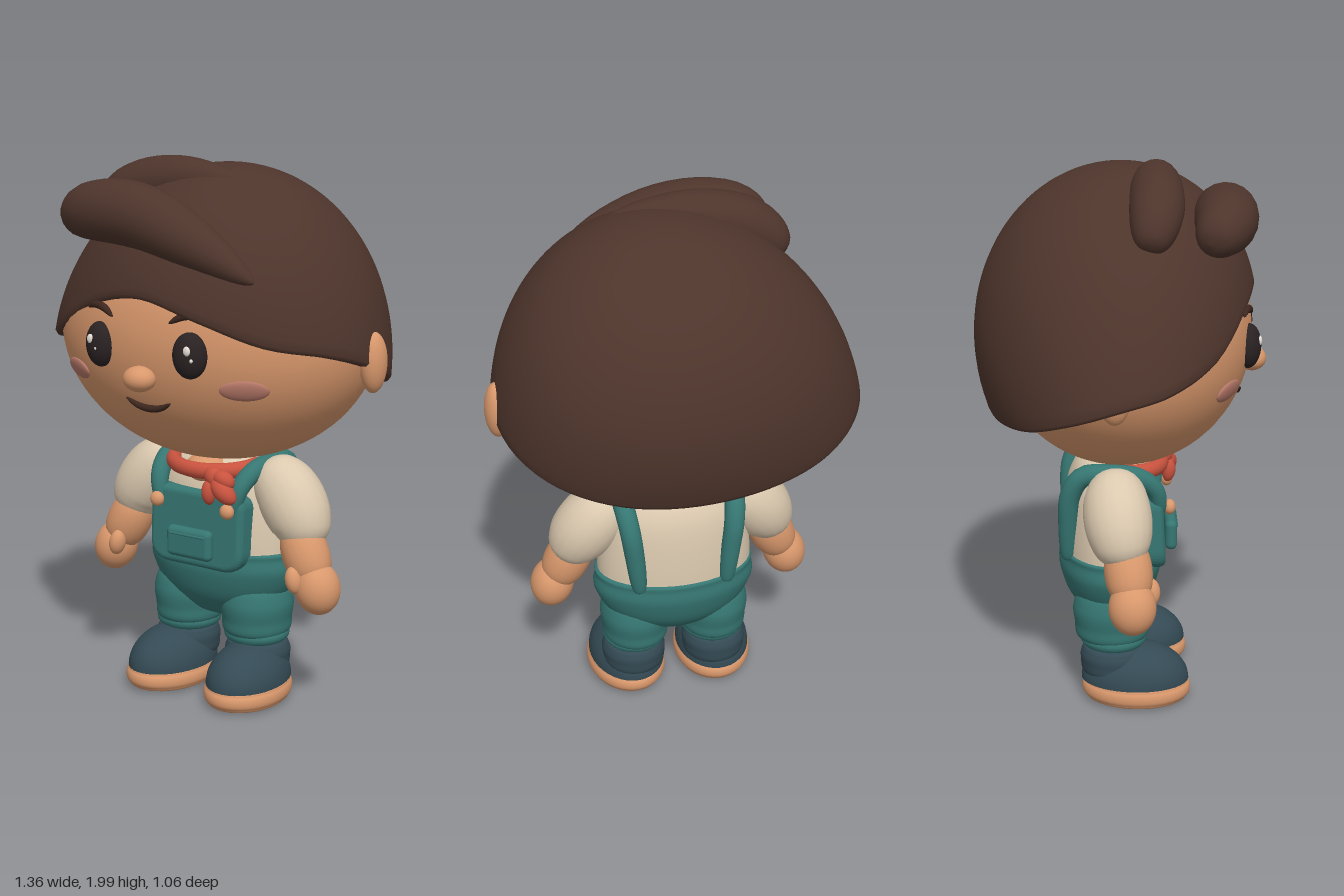
import * as THREE from 'three';
import { RoundedBoxGeometry } from 'three/addons/geometries/RoundedBoxGeometry.js';

const V = (x, y, z) => new THREE.Vector3(x, y, z);

function material(name, color) {
  const m = new THREE.MeshStandardMaterial({ color });
  m.name = name;
  return m;
}

// Smooth skin over a list of closed rings
function loft(rings) {
  const n = rings[0].length, index = [];
  for (let i = 0; i < rings.length - 1; i++) for (let j = 0; j < n; j++) {
    const a = i * n + j, b = i * n + (j + 1) % n;
    index.push(a, a + n, b + n, a, b + n, b);
  }
  const g = new THREE.BufferGeometry().setFromPoints(rings.flat());
  g.setIndex(index);
  g.computeVertexNormals();
  return g;
}

// Tube of changing radius; radius is a function of 0..1 along the path
function taper(points, radius, steps = 28, sides = 20) {
  const curve = new THREE.CatmullRomCurve3(points.map(p => V(...p)));
  const frames = curve.computeFrenetFrames(steps, false);
  const rings = [];
  for (let i = 0; i <= steps; i++) {
    const t = (1 - Math.cos(Math.PI * i / steps)) / 2, c = curve.getPointAt(t), r = radius(t);
    const k = Math.round(t * steps), ring = [];
    for (let j = 0; j < sides; j++) {
      const a = j / sides * Math.PI * 2;
      ring.push(c.clone().addScaledVector(frames.normals[k], Math.cos(a) * r)
        .addScaledVector(frames.binormals[k], -Math.sin(a) * r));
    }
    rings.push(ring);
  }
  return loft(rings);
}
const lock = R => t => Math.max(1e-4, 1.91 * R * t ** 0.35 * (1 - t) ** 0.65);
const capsule = (R, p = 0.25) => t => Math.max(1e-4, R * Math.min(1, 4 * t * (1 - t)) ** p);

function turned(points, zScale) {
  const pts = new THREE.SplineCurve(points.map(p => new THREE.Vector2(...p))).getPoints(40);
  pts.forEach(p => { p.x = Math.max(0, p.x); });
  return new THREE.LatheGeometry(pts, 40).scale(1, 1, zScale);
}

// Head ellipsoid and a point on its front
const HEAD = { y: 1.38, rx: 0.62, ry: 0.48, rz: 0.47 };
function onFace(x, y, lift = 0) {
  const q = 1 - (x / HEAD.rx) ** 2 - ((y - HEAD.y) / HEAD.ry) ** 2;
  return [x, y, HEAD.rz * Math.sqrt(Math.max(0, q)) + lift];
}

// Hair cap: asymmetric dome with a wavy rim that rolls inward
function hairCap() {
  const rimY = [1.55, 1.49, 1.41, 1.37, 1.31, 1.23, 1.17, 1.13, 1.12, 1.13, 1.16, 1.22, 1.28, 1.32, 1.39, 1.51];
  const rim = new THREE.CatmullRomCurve3(rimY.map(y => V(0, y, 0)), true, 'catmullrom');
  const arc = (y, c, h) => Math.sqrt(Math.max(0, 1 - ((y - c) / h) ** 2));
  const sides = 80, rows = 32, rings = [];
  const ringAt = (s, shrink, drop) => Array.from({ length: sides }, (_, j) => {
    const a = j / sides * Math.PI * 2, r = rim.getPoint(j / sides).y;
    const y = r + (1.97 - r) * s;
    const x = 0.677 * arc(y, 1.15, 0.82) * Math.sin(a) * shrink;
    const depth = Math.cos(a) > 0 ? 0.49 * arc(y, 1.43, 0.54) : 0.53 * arc(y, 1.36, 0.61);
    return V(x + 0.1 * (y - 1.47), y + drop, depth * Math.cos(a) * shrink * (1 + 0.15 * x));
  });
  for (let i = 0; i <= rows; i++) rings.push(ringAt(Math.cos(i / rows * Math.PI / 2), 1, 0));
  rings.push(ringAt(0, 0.985, -0.014), ringAt(0, 0.95, -0.016), ringAt(0, 0.9, 0.01), ringAt(0, 0.85, 0.06));
  return loft(rings);
}

export function createModel() {
  const model = new THREE.Group();
  const skin = material('skin', 0xd9986c), hair = material('hair brown', 0x4e352c);
  const teal = material('teal cloth', 0x367672), navy = material('boot navy', 0x344a54);
  const cream = material('cream shirt', 0xdbc9af), red = material('red scarf', 0xc9533f);
  const dark = material('eye black', 0x2a2223), blush = material('blush', 0xb67868);
  const white = material('eye highlight', 0xf2e9e0), brown = material('brow brown', 0x3d271f);

  function add(name, geometry, mat, pos = [0, 0, 0], rot = [0, 0, 0]) {
    const m = new THREE.Mesh(geometry, mat);
    m.name = name;
    m.position.set(...pos);
    m.rotation.set(...rot);
    model.add(m);
    return m;
  }
  const ball = (name, mat, pos, r, rot, seg = 28) =>
    add(name, new THREE.SphereGeometry(1, seg, seg * 0.75).scale(...r), mat, pos, rot);

  // Head and hair
  ball('head', skin, [0, HEAD.y, 0], [HEAD.rx, HEAD.ry, HEAD.rz], undefined, 56);
  add('hairCap', hairCap(), hair);
  add('frontHairLock', taper([[-0.415, 1.765, 0.29], [-0.3, 1.805, 0.345], [-0.08, 1.805, 0.365],
    [0.15, 1.735, 0.385], [0.4, 1.61, 0.365]], lock(0.114)), hair);
  add('topHairLock', taper([[-0.43, 1.75, 0.09], [-0.31, 1.85, 0.115], [-0.12, 1.903, 0.12],
    [0.06, 1.91, 0.125], [0.23, 1.9, 0.13]], lock(0.096)), hair);

  // Face
  ball('nose', skin, [0.006, 1.263, 0.475], [0.06, 0.045, 0.053]);
  add('mouth', taper([[-0.09, 1.18], [-0.045, 1.157], [0.006, 1.149], [0.057, 1.157], [0.102, 1.18]]
    .map(p => onFace(...p, 0.006)), capsule(0.013, 0.6)), brown);
  for (const s of [-1, 1]) {
    const x = s * 0.192 + 0.006;
    ball('eye', dark, [x, 1.36, 0.445], [0.062, 0.08, 0.045], [0, s * 0.25, 0]);
    ball('eyeHighlight', white, [x - 0.014 + (s > 0 ? 0.028 : 0), 1.382, 0.484], [0.014, 0.017, 0.008]);
    ball('eyeGlint', white, [x + (s > 0 ? 0.035 : 0.012), 1.352, 0.487], [0.006, 0.007, 0.006]);
    add('eyebrow', taper([[s * 0.255, 1.48], [s * 0.22, 1.494], [s * 0.17, 1.49], [s * 0.12, 1.464]]
      .map(p => onFace(...p, 0.006)), capsule(0.014, 0.6)), brown);
    const c = V(...onFace(s * 0.355 + 0.005, 1.243));
    const n = V(c.x / HEAD.rx ** 2, (c.y - HEAD.y) / HEAD.ry ** 2, c.z / HEAD.rz ** 2);
    ball('cheek', blush, c.toArray(), [0.086, 0.038, 0.013]).lookAt(c.clone().add(n));
    ball('ear', skin, [s > 0 ? 0.632 : -0.612, 1.31, -0.03], [0.045, 0.107, 0.057]);
  }

  // Torso and trousers
  add('shirt', turned([[0, 0.5], [0.27, 0.51], [0.294, 0.57], [0.275, 0.75], [0.235, 0.85], [0.16, 0.905], [0, 0.92]], 0.62),
    cream, [0, 0, -0.038]);
  ball('neck', skin, [0, 0.865, 0.06], [0.085, 0.055, 0.09]);
  add('trouserSeat', turned([[0, 0.285], [0.13, 0.3], [0.25, 0.38], [0.305, 0.48], [0.302, 0.54], [0.294, 0.568], [0.2, 0.572], [0, 0.572]], 0.625),
    teal, [0.003, 0, -0.04]);

  // Bib with its pocket
  function plate(w, h, r, d, bevel) {
    const s = new THREE.Shape(), x = w / 2, y = h / 2;
    s.moveTo(-x + r, -y).lineTo(x - r, -y).quadraticCurveTo(x, -y, x, -y + r).lineTo(x, y - r / 2);
    s.quadraticCurveTo(x, y, x - r / 2, y).lineTo(-x + r / 2, y).quadraticCurveTo(-x, y, -x, y - r / 2);
    s.lineTo(-x, -y + r).quadraticCurveTo(-x, -y, -x + r, -y);
    return new THREE.ExtrudeGeometry(s, { depth: d, bevelSize: bevel, bevelThickness: bevel, bevelSegments: 6, curveSegments: 10 });
  }
  add('bib', plate(0.36, 0.242, 0.06, 0.05, 0.025), teal, [0.003, 0.647, 0.082], [-0.05, 0, 0]);
  add('pocket', new RoundedBoxGeometry(0.195, 0.115, 0.045, 5, 0.022), teal, [0.005, 0.605, 0.185]);
  add('pocketSeam', new THREE.CapsuleGeometry(0.005, 0.15, 4, 8), teal, [0.005, 0.638, 0.206], [0, 0, Math.PI / 2]);

  // Neck scarf with knot and tails
  add('scarf', new THREE.TorusGeometry(0.17, 0.03, 14, 48, Math.PI).rotateX(Math.PI / 2).scale(1, 1, 0.88), red, [0, 0.884, 0], [0.08, 0, 0]);
  ball('scarfKnot', red, [0.1, 0.862, 0.165], [0.042, 0.036, 0.03], [0, 0, -0.5]);
  const tails = [
    [[0.1, 0.86, 0.165], [0.14, 0.825, 0.177], [0.19, 0.78, 0.17], 0.036],
    [[0.09, 0.86, 0.165], [0.085, 0.815, 0.18], [0.085, 0.76, 0.175], 0.026],
    [[0.1, 0.865, 0.165], [0.14, 0.863, 0.17], [0.18, 0.838, 0.16], 0.03]];
  for (const [a, b, c, r] of tails) add('scarfTail', taper([a, b, c], capsule(r, 0.5)), red);

  // Mirrored limbs and straps
  for (const s of [-1, 1]) {
    add('strap', taper([[s * 0.16, 0.73, 0.14], [s * 0.178, 0.82, 0.12], [s * 0.195, 0.872, 0.06], [s * 0.205, 0.888, -0.04],
      [s * 0.205, 0.88, -0.14], [s * 0.195, 0.81, -0.185], [s * 0.18, 0.69, -0.195], [s * 0.165, 0.55, -0.195]],
      capsule(0.038, 0.15), 48), teal);
    add('strapButton', new THREE.SphereGeometry(0.028, 18, 14).scale(1, 1, 0.8), skin, [s * 0.156 + 0.005, 0.745, 0.175]);
    add('sleeve', taper([[s * 0.19, 0.885, -0.02], [s * 0.29, 0.8, -0.02], [s * 0.36, 0.7, -0.005], [s * 0.388, 0.61, 0.01]],
      capsule(0.122, 0.35)), cream);
    add('forearm', taper([[s * 0.355, 0.69, 0.01], [s * 0.395, 0.6, 0.02], [s * 0.445, 0.5, 0.03]], capsule(0.086, 0.25)), skin);
    ball('hand', skin, [s * 0.458, 0.48, 0.034], [0.082, 0.098, 0.085], [0, 0, s * 0.25]);
    ball('thumb', skin, [s * 0.4, 0.515, 0.1], [0.031, 0.05, 0.034], [0, 0, s * 0.2]);
    add('trouserLeg', turned([[0, 0.22], [0.112, 0.24], [0.128, 0.3], [0.132, 0.37], [0.1, 0.44], [0, 0.46]], 1.08),
      teal, [s * 0.153, 0, -0.035]);
    add('trouserCuff', new THREE.TorusGeometry(0.095, 0.028, 14, 40).rotateX(Math.PI / 2), teal, [s * 0.155, 0.238, -0.03]);

    // Boots
    add('boot', new THREE.SphereGeometry(1, 36, 16, 0, Math.PI * 2, 0, Math.PI / 2).scale(0.143, 0.14, 0.2), navy,
      [s * 0.174, 0.08, 0.05], [0, s * 0.08, 0]);
    add('bootCollar', turned([[0, 0.09], [0.105, 0.1], [0.122, 0.155], [0.118, 0.19], [0.095, 0.212], [0, 0.217]], 1), navy, [s * 0.16, 0, -0.03]);
    add('bootSole', turned([[0, 0.008], [0.12, 0.012], [0.145, 0.03], [0.151, 0.053], [0.145, 0.077], [0.125, 0.092], [0, 0.094]], 1.34),
      skin, [s * 0.175, -0.007, 0.055], [0, s * 0.08, 0]);
  }
  return model;
}
